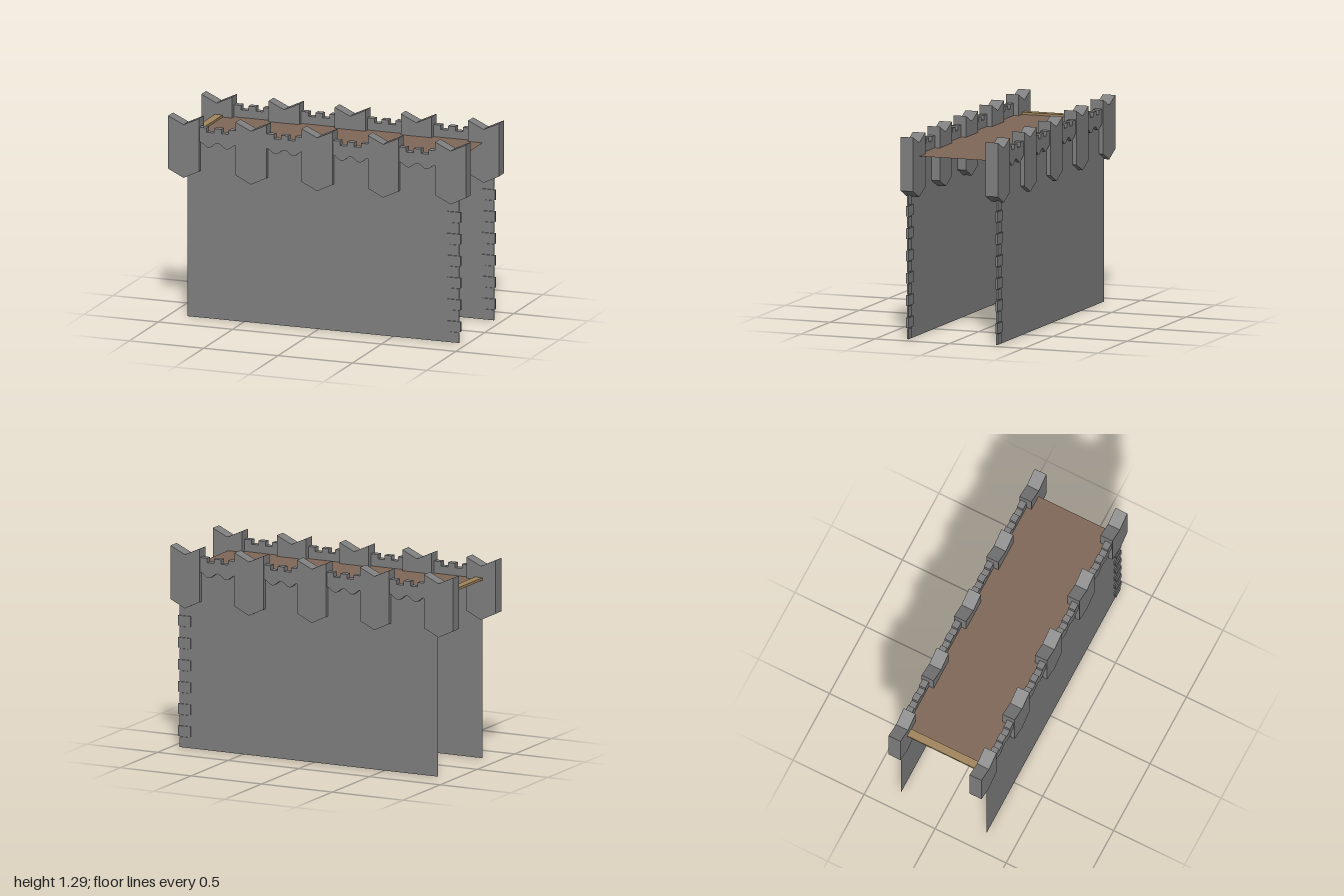
import * as THREE from 'three';

const stone = new THREE.MeshStandardMaterial({ color: 0x808080, side: THREE.DoubleSide });
stone.name = 'grey stone';
const deckBrown = new THREE.MeshStandardMaterial({ color: 0x806858, side: THREE.DoubleSide });
deckBrown.name = 'brown deck';
const timber = new THREE.MeshStandardMaterial({ color: 0xa2865c });
timber.name = 'tan timber';

const TURRETS = [-0.897, -0.444, 0, 0.444, 0.897];
const HALF = 0.103; // half width of a turret

function add(parent, name, geometry, material, x = 0, y = 0, z = 0) {
  const mesh = new THREE.Mesh(geometry, material);
  mesh.name = name;
  mesh.position.set(x, y, z);
  parent.add(mesh);
  return mesh;
}

// Extrudes an outline of [x, y] points between two depths
function slab(points, z0, z1) {
  const shape = new THREE.Shape(points.map(([x, y]) => new THREE.Vector2(x, y)));
  const geometry = new THREE.ExtrudeGeometry(shape, { depth: z1 - z0, bevelEnabled: false });
  return geometry.translate(0, 0, z0);
}

// Turret block with a notched top and a pointed foot
function turretGeometry() {
  return slab([
    [-HALF, 0.95], [0, 0.9], [HALF, 0.95],
    [HALF, 1.293], [0, 1.245], [-HALF, 1.293],
  ], 0.243, 0.327);
}

// Parapet with three merlons above and a scalloped lower edge
function parapetGeometry(width) {
  const points = [];
  for (let i = 0; i <= 24; i++) {
    const t = i / 24;
    points.push([(t - 0.5) * width, 1.126 + 0.016 * Math.cos(t * Math.PI * 4)]);
  }
  for (let i = 4; i >= 0; i--) {
    const y = i % 2 ? 1.208 : 1.236;
    points.push([((i + 1) / 5 - 0.5) * width, y], [(i / 5 - 0.5) * width, y]);
  }
  return slab(points, 0.276, 0.32);
}

// One long wall, built on the +z side
function buildWall(name) {
  const wall = new THREE.Group();
  wall.name = name;

  add(wall, 'wallPanel', new THREE.PlaneGeometry(1.825, 1.18), stone, 0.0325, 0.59, 0.3);

  const turret = turretGeometry();
  TURRETS.forEach((x) => add(wall, 'turret', turret, stone, x));

  for (let i = 0; i < TURRETS.length - 1; i++) {
    const a = TURRETS[i] + HALF, b = TURRETS[i + 1] - HALF;
    add(wall, 'parapet', parapetGeometry(b - a), stone, (a + b) / 2);
  }

  // Corner stones, alternately long and short
  const courses = 13, step = 0.92 / courses;
  for (let i = 0; i < courses; i++) {
    const long = i % 2 === 1;
    const x0 = long ? 0.867 : 0.888, x1 = long ? 0.956 : 0.946;
    const depth = long ? 0.016 : 0.011;
    add(wall, 'cornerStone', new THREE.BoxGeometry(x1 - x0, step * 0.93, depth), stone,
      (x0 + x1) / 2, (i + 0.5) * step, 0.3);
  }
  return wall;
}

export function createModel() {
  const model = new THREE.Group();
  model.name = 'castleWall';

  model.add(buildWall('frontWall'));

  // The back wall faces outwards too, with its corner stones on the same end
  const back = buildWall('backWall');
  back.traverse((part) => {
    if (!part.isMesh) return;
    part.position.z *= -1;
    if (part.name === 'turret' || part.name === 'parapet') part.rotation.y = Math.PI;
    if (part.name === 'wallPanel') part.rotation.y = Math.PI;
  });
  model.add(back);

  // Walkway between the walls
  const deck = add(model, 'walkway', new THREE.PlaneGeometry(1.79, 0.6), deckBrown, -0.003, 1.158, 0);
  deck.rotation.x = -Math.PI / 2;
  add(model, 'endBeam', new THREE.BoxGeometry(0.052, 0.016, 0.6), timber, -0.882, 1.164, 0);

  return model;
}
